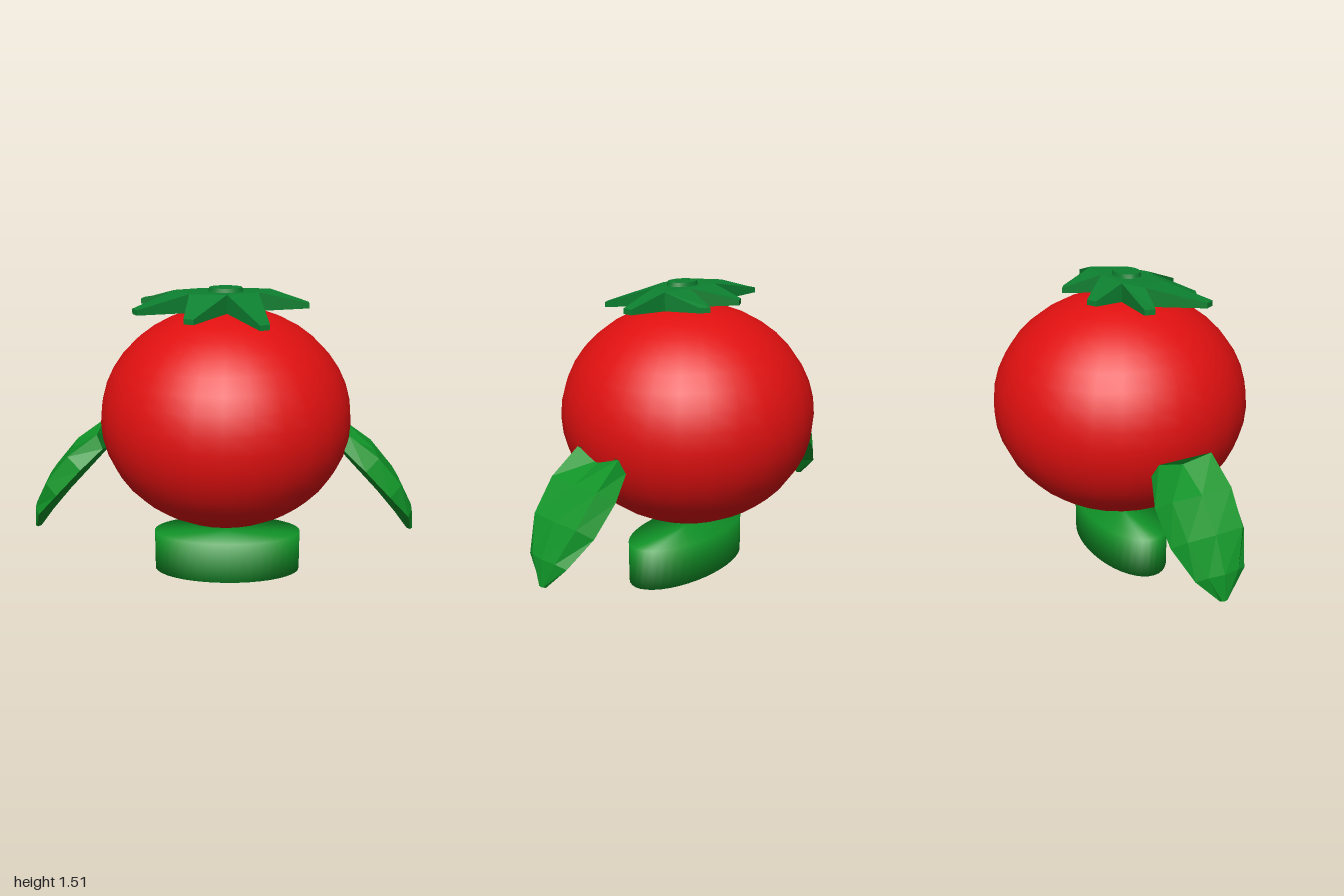
import * as THREE from 'three';
import { mergeVertices } from 'three/addons/utils/BufferGeometryUtils.js';

const red = new THREE.MeshStandardMaterial({ name: 'tomatoRed', color: 0xe01010 });
const green = new THREE.MeshStandardMaterial({ name: 'leafGreen', color: 0x109428 });
const darkGreen = new THREE.MeshStandardMaterial({ name: 'crownGreen', color: 0x0d8030 });

// Faceted geometry from points and polygons (fanned, counter-clockwise from outside)
function faceted(points, polygons) {
  const index = [];
  for (const p of polygons)
    for (let i = 1; i < p.length - 1; i++) index.push(p[0], p[i], p[i + 1]);
  const g = new THREE.BufferGeometry();
  g.setAttribute('position', new THREE.Float32BufferAttribute(points.flat(), 3));
  g.setIndex(index);
  const flat = g.toNonIndexed();
  flat.computeVertexNormals();
  return flat;
}

// Drooping leaf arm, lofted through six-sided sections
function armGeometry() {
  // each section: outer ridge x,y | face edge x,y,halfWidth | rim x,y,halfWidth | inner ridge x,y
  const sections = [
    [0.61, 0.75, 0.63, 0.787, 0.14, 0.60, 0.72, 0.16, 0.59, 0.68],
    [0.78, 0.67, 0.78, 0.675, 0.155, 0.71, 0.62, 0.203, 0.69, 0.57],
    [0.905, 0.53, 0.90, 0.53, 0.145, 0.84, 0.48, 0.195, 0.80, 0.45],
    [0.985, 0.37, 0.975, 0.37, 0.08, 0.95, 0.35, 0.13, 0.90, 0.33],
    [1.0, 0.24, 0.998, 0.24, 0.012, 0.985, 0.236, 0.02, 0.97, 0.235],
  ];
  const points = [], polygons = [];
  for (const [ox, oy, ex, ey, ew, sx, sy, sw, ix, iy] of sections)
    points.push([ox, oy, 0], [ex, ey, ew], [sx, sy, sw], [ix, iy, 0], [sx, sy, -sw], [ex, ey, -ew]);
  for (let k = 0; k < sections.length - 1; k++)
    for (let i = 0; i < 6; i++) {
      const a = k * 6 + i, b = k * 6 + (i + 1) % 6;
      polygons.push([a, b, b + 6, a + 6]);
    }
  const last = (sections.length - 1) * 6;
  polygons.push([5, 4, 3, 2, 1, 0], [0, 1, 2, 3, 4, 5].map(i => last + i));
  return faceted(points, polygons);
}

// Seven-pointed leafy crown: flat hub with sloping rays
function crownGeometry() {
  // tip x, z, height, then the notch before it x, z
  const rays = [
    [0.42, 0.0, 1.43, 0.17, 0.075],
    [0.155, -0.24, 1.43, 0.23, -0.055],
    [-0.125, -0.22, 1.43, 0.07, -0.07],
    [-0.405, -0.068, 1.44, -0.12, -0.06],
    [-0.41, 0.245, 1.435, -0.24, 0.0],
    [-0.155, 0.33, 1.405, -0.16, 0.135],
    [0.195, 0.385, 1.39, 0.02, 0.155],
  ];
  const top = [], bottom = [], polygons = [];
  for (const [x, z, y, nx, nz] of rays) {
    const r = Math.hypot(x, z), px = z / r * 0.026, pz = -x / r * 0.026;
    top.push([nx, 1.49, nz], [x - px, y, z - pz], [x + px, y, z + pz]);
    bottom.push([nx, 1.40, nz], [x - px, y - 0.025, z - pz], [x + px, y - 0.025, z + pz]);
  }
  const n = top.length;
  for (let i = 0; i < n; i++) {
    const j = (i + 1) % n;
    polygons.push([i, i + n, j + n, j]);
  }
  // hub fans start at a central point, since the notch outline is not convex
  const hubTop = 2 * n, hubBottom = 2 * n + 1;
  for (let i = 0; i < n; i += 3) {
    const j = (i + 3) % n;
    polygons.push([hubTop, i, j], [i, i + 1, i + 2, j]);
    polygons.push([hubBottom, j + n, i + n], [j + n, i + 2 + n, i + 1 + n, i + n]);
  }
  return faceted([...top, ...bottom, [0, 1.49, 0.035], [0, 1.40, 0.035]], polygons);
}

// Oval foot with normals blended over its rims
function footGeometry() {
  let g = new THREE.CylinderGeometry(1, 1, 0.216, 40);
  g.scale(0.385, 1, 0.192);
  g.deleteAttribute('normal');
  g.deleteAttribute('uv');
  g = mergeVertices(g);
  g.computeVertexNormals();
  return g;
}

export function createModel() {
  const model = new THREE.Group();
  model.name = 'tomatoFigure';
  const add = (name, geometry, material, x = 0, y = 0, z = 0) => {
    const mesh = new THREE.Mesh(geometry, material);
    mesh.name = name;
    mesh.position.set(x, y, z);
    model.add(mesh);
    return mesh;
  };

  // Round body
  const body = new THREE.SphereGeometry(1, 28, 20);
  body.scale(0.634, 0.557, 0.643);
  add('body', body, red, 0.013, 0.85, 0);

  // Arms
  const arm = armGeometry();
  add('leftArm', arm, green);
  add('rightArm', arm, green).rotation.y = Math.PI;

  // Foot
  add('foot', footGeometry(), green, 0.02, 0.108, 0);

  // Crown and stem stub
  add('crown', crownGeometry(), darkGreen);
  const stem = new THREE.CylinderGeometry(0.08, 0.092, 0.04, 20);
  stem.scale(1, 1, 0.78);
  add('stem', stem, darkGreen, 0.012, 1.49, 0.035);

  return model;
}
